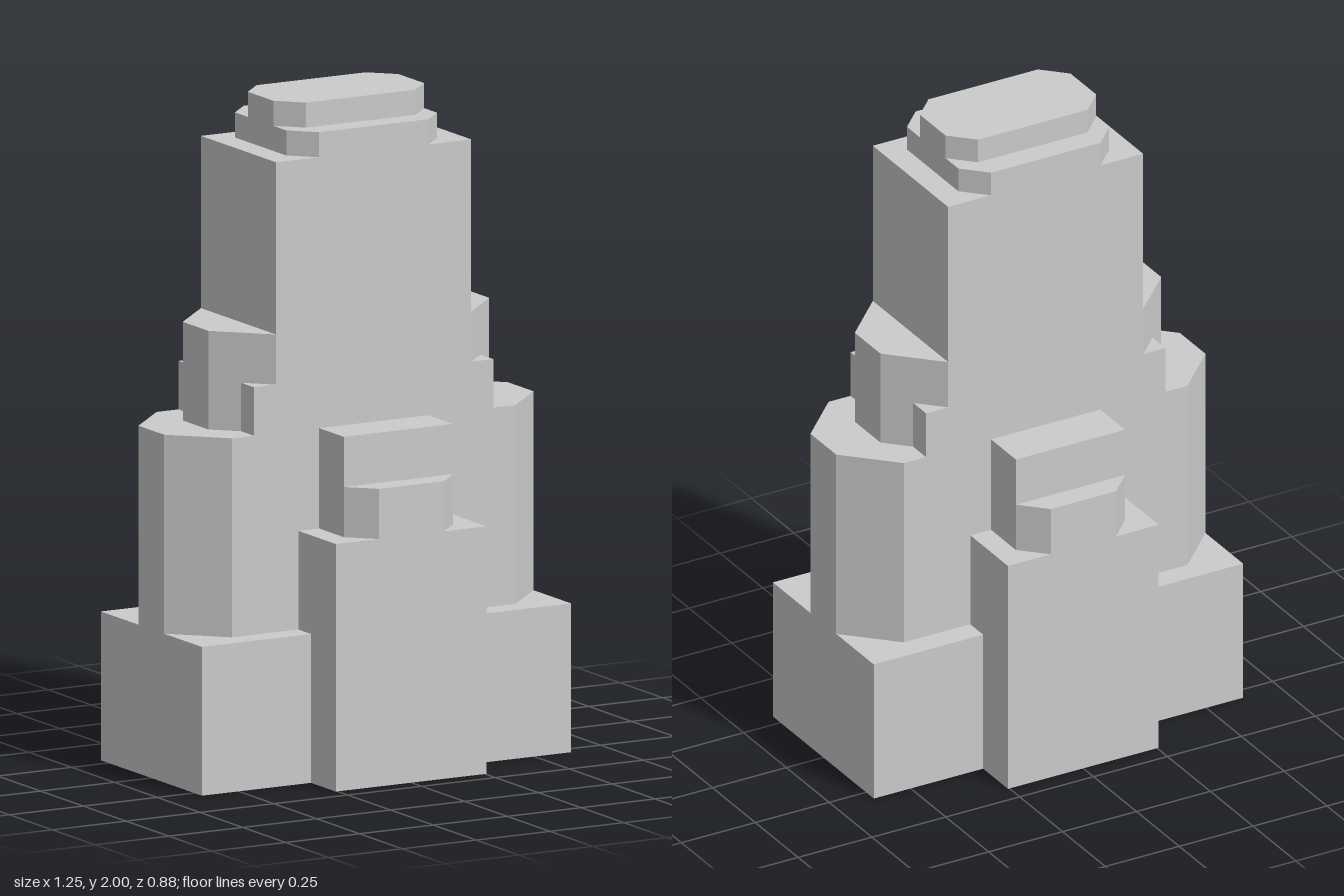
import * as THREE from 'three';

const material = new THREE.MeshStandardMaterial({ color: 0xcccccc, flatShading: true, side: THREE.DoubleSide });

// Quarter outlines are [x, z] points running from the z axis round to the x axis.
function fullRing(q) {
  const back = [...q].reverse();
  return [
    ...q,
    ...back.map(([x, z]) => [x, -z]),
    ...q.map(([x, z]) => [-x, -z]),
    ...back.map(([x, z]) => [-x, z]),
  ];
}

// Upright walls around a mirrored outline
function walls(quarter, y0, y1) {
  const ring = fullRing(quarter);
  const pos = [];
  ring.forEach(([ax, az], i) => {
    const [bx, bz] = ring[(i + 1) % ring.length];
    pos.push(ax, y0, az, bx, y0, bz, bx, y1, bz);
    pos.push(ax, y0, az, bx, y1, bz, ax, y1, az);
  });
  const geo = new THREE.BufferGeometry();
  geo.setAttribute('position', new THREE.Float32BufferAttribute(pos, 3));
  geo.computeVertexNormals();
  return geo;
}

// Flat, upward-facing polygon
function flat(points, y) {
  const shape = new THREE.Shape(points.map(([x, z]) => new THREE.Vector2(x, -z)));
  return new THREE.ShapeGeometry(shape).rotateX(-Math.PI / 2).translate(0, y, 0);
}

export function createModel() {
  const model = new THREE.Group();
  const add = (name, geo) => {
    const mesh = new THREE.Mesh(geo, material);
    mesh.name = name;
    model.add(mesh);
  };

  // Shared corner runs
  const lowerBay = [[0.48, 0.22], [0.625, 0.075]];
  const upperBay = [[0.33, 0.22], [0.475, 0.075]];
  const crownLow = [[0.185, 0.22], [0.255, 0.15]];
  const crownTop = [[0.185, 0.145], [0.255, 0.075]];

  // Wall tiers from the ground up: name, bottom, top, quarter outline
  const tiers = [
    ['podiumWalls', 0, 0.445, [[0.255, 0.44], [0.255, 0.295], [0.625, 0.295]]],
    ['lowerPorchWalls', 0.445, 0.74, [[0.255, 0.44], [0.255, 0.22], ...lowerBay]],
    ['chamferedPorchWalls', 0.74, 0.89, [[0.11, 0.44], [0.185, 0.365], [0.185, 0.22], ...lowerBay]],
    ['upperPorchWalls', 0.89, 1.04, [[0.185, 0.365], [0.185, 0.22], ...lowerBay]],
    ['shoulderWalls', 1.04, 1.185, [[0.405, 0.22], [0.405, 0.145], [0.475, 0.075]]],
    ['upperBayWalls', 1.185, 1.335, upperBay],
    ['towerWalls', 1.335, 1.85, [[0.33, 0.22]]],
    ['lowerCrownWalls', 1.85, 1.925, crownLow],
    ['upperCrownWalls', 1.925, 2, crownTop],
  ];
  for (const [name, y0, y1, outline] of tiers) add(name, walls(outline, y0, y1));

  // Terraces between tiers: one quarter each, mirrored to all four
  const terraces = [
    ['podiumTerrace', 0.445, [[0.255, 0.295], [0.255, 0.22], ...lowerBay, [0.625, 0.295]]],
    ['lowerPorchTerrace', 0.74, [[0.11, 0.44], [0.185, 0.365], [0.185, 0.22], [0.255, 0.22], [0.255, 0.44]]],
    ['chamferedPorchTerrace', 0.89, [[0, 0.365], [0.185, 0.365], [0.11, 0.44], [0, 0.44]]],
    ['upperPorchRoof', 1.04, [[0, 0.22], [0.185, 0.22], [0.185, 0.365], [0, 0.365]]],
    ['lowerBayRoof', 1.04, [[0.405, 0.22], ...lowerBay, [0.625, 0], [0.475, 0], [0.475, 0.075], [0.405, 0.145]]],
    ['shoulderTerrace', 1.185, [[0.33, 0.22], [0.405, 0.22], [0.405, 0.145]]],
    ['upperBayRoof', 1.335, [...upperBay, [0.475, 0], [0.33, 0]]],
    ['towerTerrace', 1.85, [...crownLow, [0.255, 0], [0.33, 0], [0.33, 0.22]]],
    ['crownTerrace', 1.925, [[0, 0.145], ...crownTop, [0.255, 0.15], [0.185, 0.22], [0, 0.22]]],
  ];
  for (const [name, y, quarter] of terraces) {
    for (const sx of [1, -1]) for (const sz of [1, -1]) {
      add(name, flat(quarter.map(([x, z]) => [x * sx, z * sz]), y));
    }
  }

  // Crown roof
  add('crownRoof', flat(fullRing(crownTop), 2));
  return model;
}
